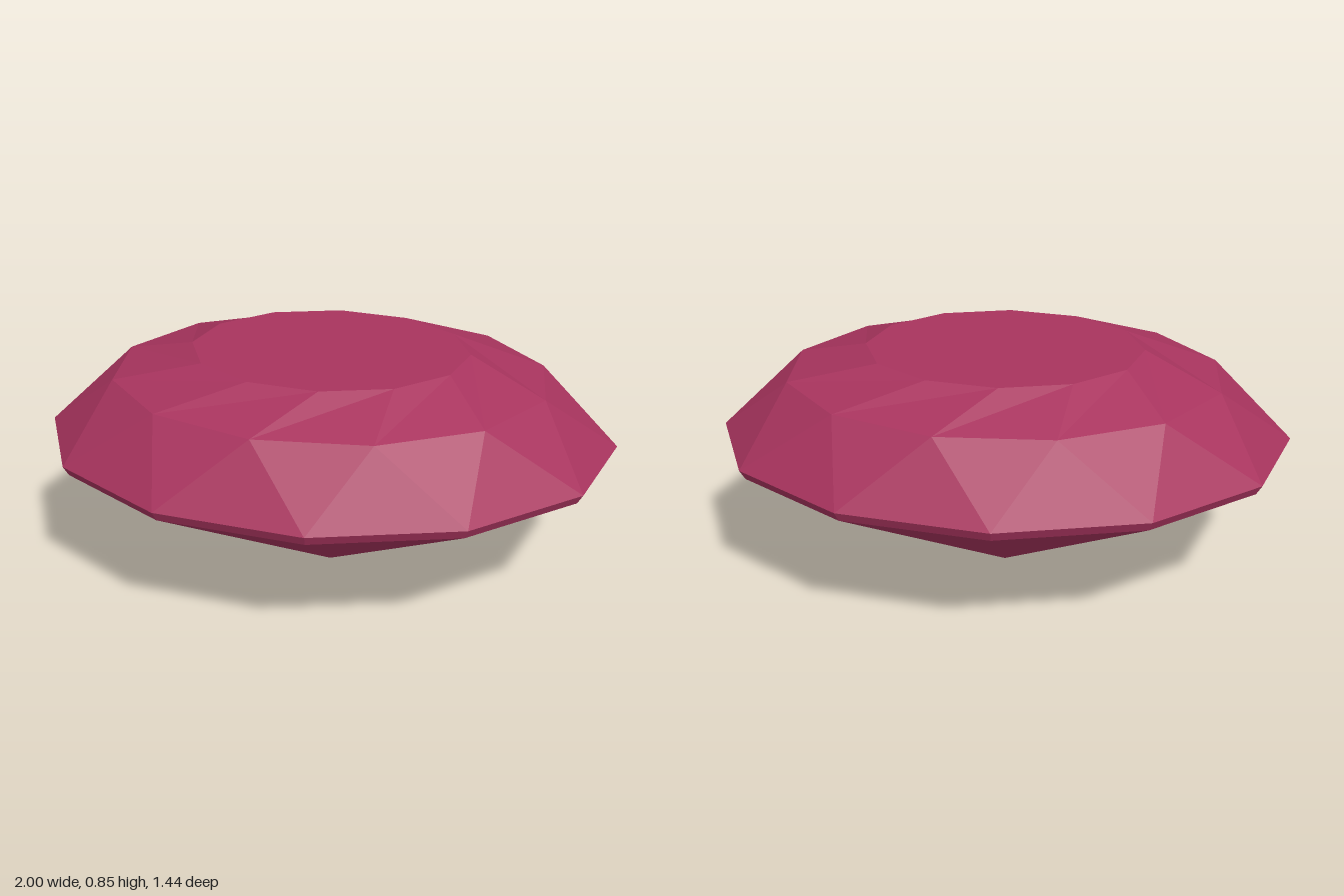
import * as THREE from 'three';

const SIDES = 12;

// Elliptical ring of corners; turn is in steps of one side
function ring(rx, rz, y, turn = 0) {
  return Array.from({ length: SIDES }, (_, i) => {
    const a = ((i + turn) / SIDES) * Math.PI * 2;
    return new THREE.Vector3(rx * Math.cos(a), y, rz * Math.sin(a));
  });
}

export function createModel() {
  const gem = new THREE.Group();
  gem.name = 'ovalGem';
  const ruby = new THREE.MeshStandardMaterial({ color: 0xa8345e, flatShading: true });
  ruby.name = 'ruby';

  // Build one part from the triangles that facet(i, next) gives for each side
  function addPart(name, facet) {
    const points = [];
    for (let i = 0; i < SIDES; i++) points.push(...facet(i, (i + 1) % SIDES));
    const geometry = new THREE.BufferGeometry().setFromPoints(points);
    geometry.computeVertexNormals();
    const mesh = new THREE.Mesh(geometry, ruby);
    mesh.name = name;
    gem.add(mesh);
  }

  const culet = new THREE.Vector3(0, 0, 0);
  const girdleLow = ring(0.98, 0.705, 0.493);
  const girdleTop = ring(1, 0.72, 0.527);
  const shoulder = ring(0.76, 0.545, 0.757, 0.5);
  const rim = ring(0.48, 0.346, 0.848);
  const centre = new THREE.Vector3(0, 0.848, 0);

  // Pointed underside
  addPart('pavilion', (i, n) => [culet, girdleLow[i], girdleLow[n]]);

  // Narrow band round the widest part
  addPart('girdle', (i, n) => [
    girdleLow[n], girdleLow[i], girdleTop[i],
    girdleLow[n], girdleTop[i], girdleTop[n],
  ]);

  // Alternating triangles up to the half-step shoulder
  addPart('crownFacets', (i, n) => [
    girdleTop[n], girdleTop[i], shoulder[i],
    shoulder[i], shoulder[n], girdleTop[n],
  ]);

  // Swept star facets up to the rim of the table
  addPart('starFacets', (i, n) => [
    shoulder[n], shoulder[i], rim[i],
    rim[i], rim[n], shoulder[n],
  ]);

  // Flat top
  addPart('table', (i, n) => [centre, rim[n], rim[i]]);

  return gem;
}
